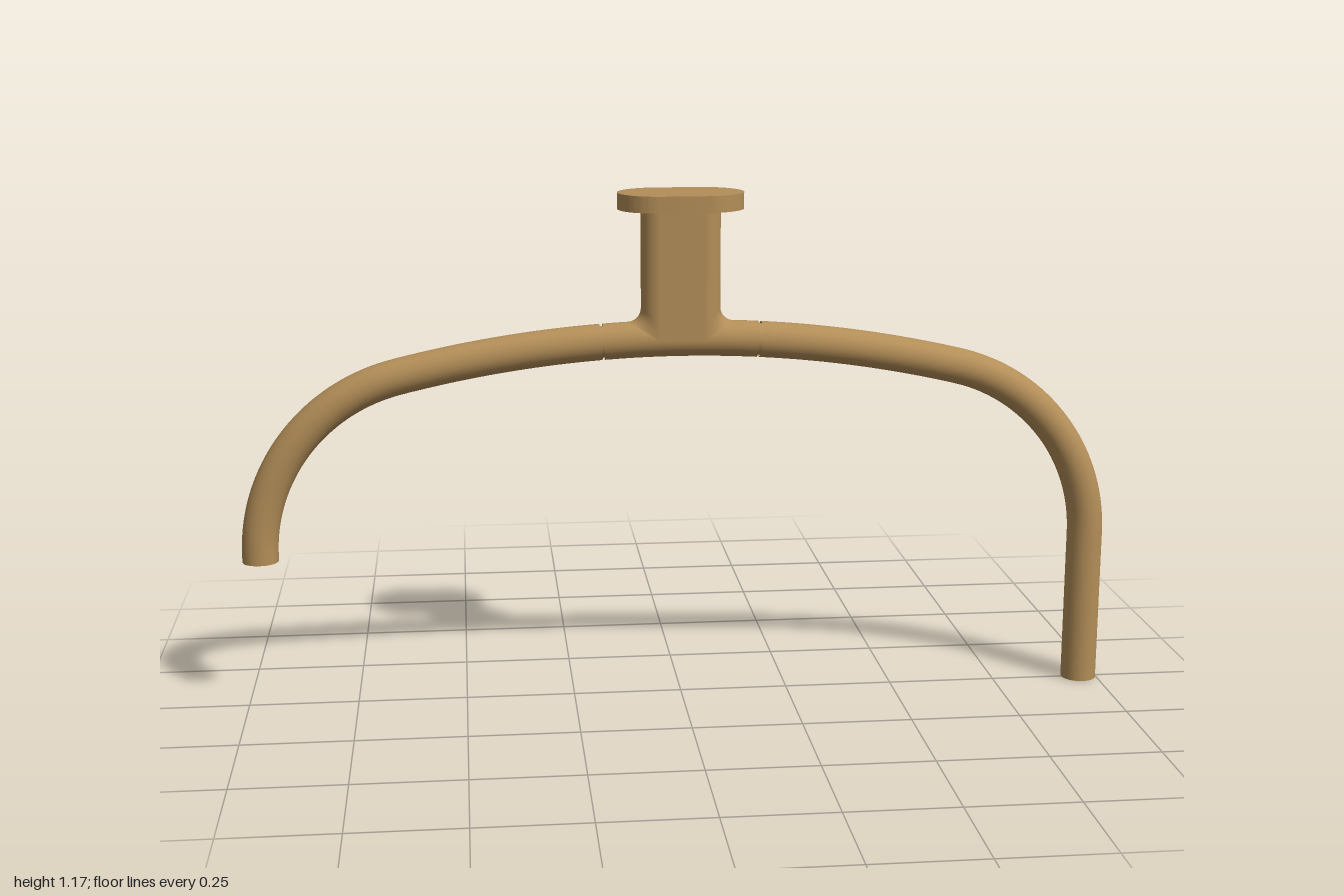
import * as THREE from 'three';
import { toCreasedNormals } from 'three/addons/utils/BufferGeometryUtils.js';

const R = 0.041;            // pipe radius
const INNER = 0.036;        // bore radius
const TOP = 0.842;          // pipe centre height at x = 0
const BIG = 2.7;            // radius of the shallow crown
const END_X = 0.959;        // pipe centre at the ends
const BEND_Y = 0.36;        // height where the bend turns vertical

// Radius of the shoulder bend, tangent to the crown and to the vertical end
const H = BEND_Y - TOP + BIG;
const BEND = (BIG * BIG - H * H - END_X * END_X) / (2 * (BIG - END_X));
const JOIN = Math.atan2(END_X - BEND, H);

const crownPoint = (a) => new THREE.Vector3(BIG * Math.sin(a), TOP - BIG + BIG * Math.cos(a), 0);

// Centre line of one arm, from the crown to its open lower end
function armCurve(startX, endY, side) {
  const pts = [];
  const a0 = Math.asin(startX / BIG);
  for (let i = 0; i < 10; i++) pts.push(crownPoint(a0 + (JOIN - a0) * i / 10));
  for (let i = 0; i <= 20; i++) {
    const a = JOIN + (Math.PI / 2 - JOIN) * i / 20;
    pts.push(new THREE.Vector3(END_X - BEND + BEND * Math.sin(a), BEND_Y + BEND * Math.cos(a), 0));
  }
  const steps = Math.max(1, Math.round((BEND_Y - endY) / 0.04));
  for (let i = 1; i <= steps; i++) pts.push(new THREE.Vector3(END_X, BEND_Y + (endY - BEND_Y) * i / steps, 0));
  pts.forEach((p) => { p.x *= side; });
  return new THREE.CatmullRomCurve3(pts);
}

// Oval outline with straight front and back and round ends
function ovalShape(halfX, halfZ) {
  const s = new THREE.Shape();
  const f = halfX - halfZ;
  s.moveTo(-f, -halfZ);
  s.lineTo(f, -halfZ);
  s.absarc(f, 0, halfZ, -Math.PI / 2, Math.PI / 2, false);
  s.absarc(-f, 0, halfZ, Math.PI / 2, Math.PI * 1.5, false);
  return s;
}

// Oval stem whose foot flares along the pipe and sits on its curve
function stemGeometry(halfX, topY, fillet) {
  const around = 64, rings = 8, pos = [], idx = [];
  for (let j = 0; j <= rings + 1; j++) {
    const t = Math.min(j / rings, 1) * Math.PI / 2;
    const flare = fillet * (1 - Math.sin(t));
    const rise = fillet * (1 - Math.cos(t));
    for (let i = 0; i < around; i++) {
      const a = (i + 0.5) / around * Math.PI * 2;
      const c = Math.cos(a), z = R * Math.sin(a);
      const x = Math.sign(c) * (halfX - R) + c * (R + flare);
      const seat = TOP - 0.003 + R * Math.abs(c);
      pos.push(x, j > rings ? topY : seat + rise, z);
    }
  }
  for (let j = 0; j <= rings; j++) {
    for (let i = 0; i < around; i++) {
      const a = j * around + i, b = j * around + (i + 1) % around;
      idx.push(a, a + around, b, b, a + around, b + around);
    }
  }
  const g = new THREE.BufferGeometry();
  g.setAttribute('position', new THREE.Float32BufferAttribute(pos, 3));
  g.setIndex(idx);
  g.computeVertexNormals();
  return g;
}

export function createModel() {
  const group = new THREE.Group();
  const brass = new THREE.MeshStandardMaterial({ color: 0xb38e58, side: THREE.DoubleSide });
  brass.name = 'brass';
  const add = (name, geometry) => {
    const mesh = new THREE.Mesh(geometry, brass);
    mesh.name = name;
    group.add(mesh);
    return mesh;
  };

  // Hollow arms: the left one is long, the right one stops at the bend
  for (const [name, side, endY] of [['left', 1, 0], ['right', -1, 0.345]]) {
    add(name + 'Arm', new THREE.TubeGeometry(armCurve(0.181, endY, side), 90, R, 32));
    add(name + 'Bore', new THREE.TubeGeometry(armCurve(0.15, endY, side), 90, INNER, 32));
    const rim = add(name + 'Rim', new THREE.RingGeometry(INNER, R, 32));
    rim.rotation.x = Math.PI / 2;
    rim.position.set(side * END_X, endY, 0);
  }

  // Centre sleeve, separated from the arms by narrow grooves
  const sleeve = [];
  const reach = Math.asin(0.175 / BIG);
  for (let i = 0; i <= 8; i++) sleeve.push(crownPoint(reach * (i / 4 - 1)));
  add('sleeve', new THREE.TubeGeometry(new THREE.CatmullRomCurve3(sleeve), 24, R, 32));

  // Stem and mounting plate
  add('stem', stemGeometry(0.09, 1.14, 0.032));
  const plate = new THREE.ExtrudeGeometry(ovalShape(0.142, 0.092), { depth: 0.037, bevelEnabled: false, curveSegments: 32 });
  plate.rotateX(-Math.PI / 2);
  plate.translate(0, 1.135, 0);
  add('mountingPlate', toCreasedNormals(plate, 0.6));

  // Small set screw in the back edge of the plate
  const screw = add('setScrew', new THREE.CylinderGeometry(0.008, 0.008, 0.004, 16));
  screw.rotation.x = Math.PI / 2;
  screw.position.set(0, 1.153, -0.091);

  return group;
}
